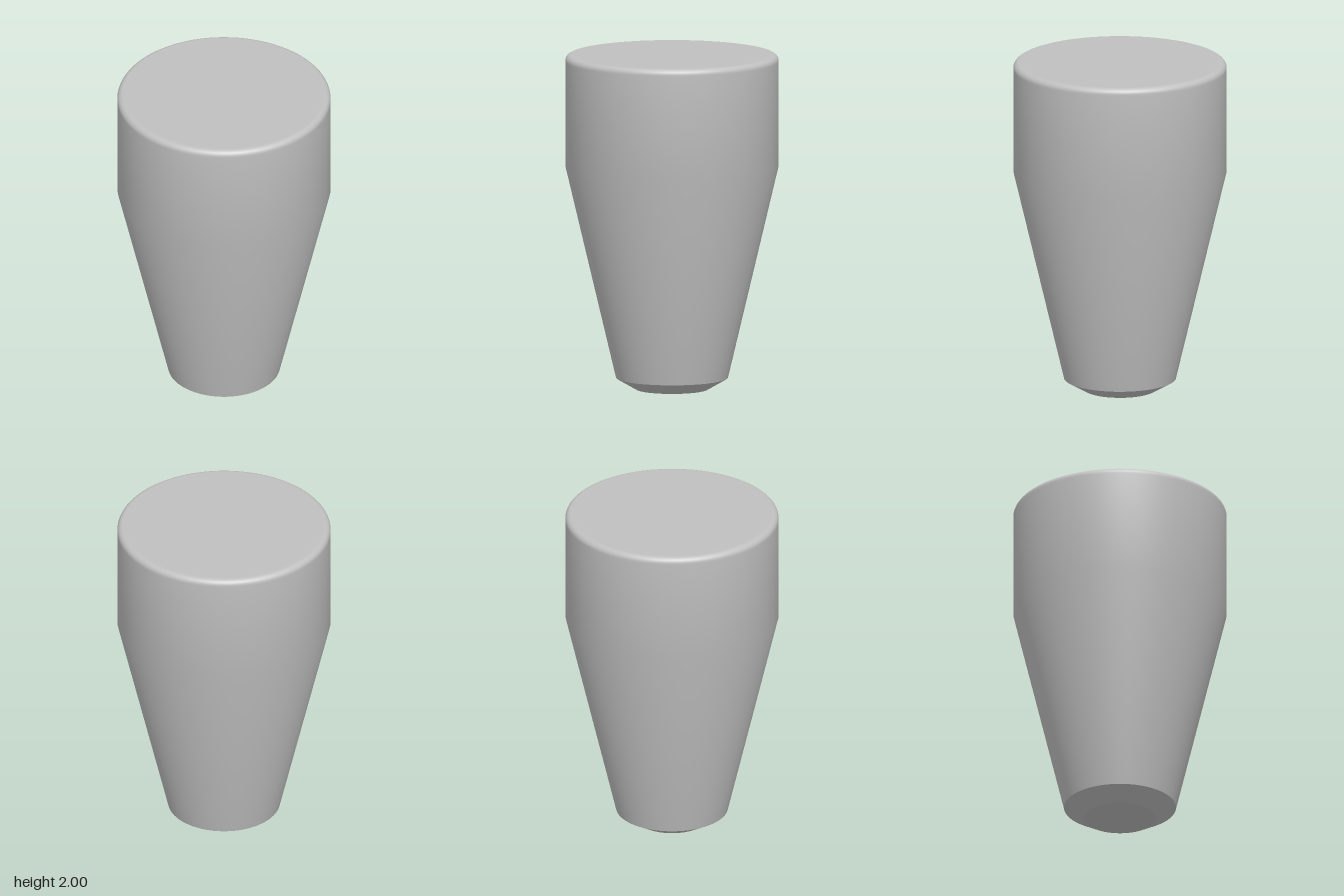
import * as THREE from 'three';

const SEGMENTS = 96;

export function createModel() {
  const group = new THREE.Group();
  group.name = 'taperedPlug';
  const grey = new THREE.MeshStandardMaterial({ color: 0xc0c0c0 });
  grey.name = 'plain grey';

  // Each profile runs upwards so the revolved faces point outwards
  function addLathe(name, profile) {
    const points = profile.map(([r, y]) => new THREE.Vector2(r, y));
    const mesh = new THREE.Mesh(new THREE.LatheGeometry(points, SEGMENTS), grey);
    mesh.name = name;
    group.add(mesh);
  }

  const radius = 0.632, fillet = 0.035, height = 2;

  // Tapered wall, straight collar and rounded top rim
  const wall = [[0.332, 0.068], [radius, 1.335], [radius, height - fillet - 0.01]];
  for (let i = 0; i <= 8; i++) {
    const a = (i / 8) * Math.PI / 2;
    wall.push([radius - fillet + fillet * Math.cos(a), height - fillet + fillet * Math.sin(a)]);
  }
  wall.push([radius - fillet - 0.01, height]);
  addLathe('body', wall);

  // Flat top
  addLathe('topFace', [[radius - fillet - 0.01, height], [0, height]]);

  // Chamfered foot and flat underside
  addLathe('footChamfer', [[0.215, 0], [0.332, 0.068]]);
  addLathe('underside', [[0, 0], [0.215, 0]]);

  return group;
}
